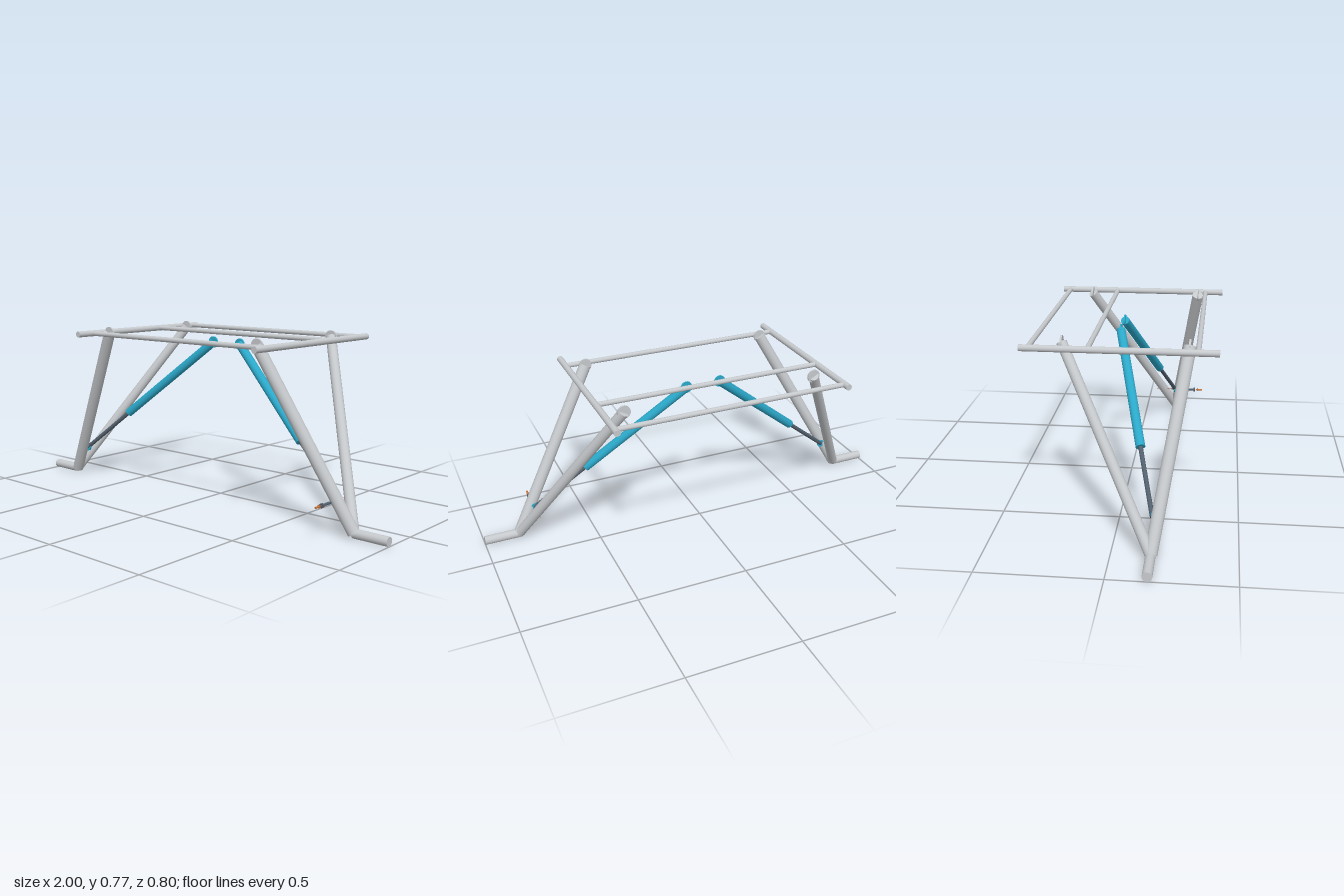
import * as THREE from 'three';

const mat = (name, color) => {
  const m = new THREE.MeshStandardMaterial({ color });
  m.name = name;
  return m;
};

export function createModel() {
  const model = new THREE.Group();
  model.name = 'suspensionFrame';
  const steel = mat('light steel', 0xc6c9cc);
  const teal = mat('teal', 0x2ba8c9);
  const dark = mat('dark steel', 0x52606d);
  const orange = mat('orange', 0xc8733a);

  // Round bar between two points, r2 is the radius at the end
  const bar = (name, a, b, r, material, parent = model, r2 = r, sides = 32) => {
    const p = new THREE.Vector3(...a), q = new THREE.Vector3(...b);
    const dir = q.clone().sub(p);
    const mesh = new THREE.Mesh(new THREE.CylinderGeometry(r2, r, dir.length(), sides), material);
    mesh.position.copy(p).add(q).multiplyScalar(0.5);
    mesh.quaternion.setFromUnitVectors(new THREE.Vector3(0, 1, 0), dir.normalize());
    mesh.name = name;
    parent.add(mesh);
    return mesh;
  };
  // Thin round eye plate facing z
  const eye = (name, [x, y, z], r, material, parent) =>
    bar(name, [x, y, z - 0.004], [x, y, z + 0.004], r, material, parent);

  // Top frame: two side rails and three cross bars
  const frame = new THREE.Group();
  frame.name = 'topFrame';
  model.add(frame);
  for (const s of [-1, 1]) bar('sideRail', [s * 0.522, 0.742, 0.4], [s * 0.522, 0.742, -0.4], 0.014, steel, frame);
  for (const z of [0.315, -0.125, -0.365]) bar('crossBar', [-0.522, 0.742, z], [0.522, 0.742, z], 0.011, steel, frame);

  for (const s of [-1, 1]) {
    const side = new THREE.Group();
    side.name = s > 0 ? 'leftArm' : 'rightArm';
    model.add(side);

    // Stub axle and the two legs of the arm
    const foot = [s * 0.84, 0.021, 0.16];
    bar('axle', foot, [s, 0.021, 0.16], 0.02, steel, side);
    const frontTop = [s * 0.44, 0.745, 0.28], rearTop = [s * 0.44, 0.745, -0.24];
    bar('frontLeg', foot, frontTop, 0.026, steel, side);
    bar('rearLeg', foot, rearTop, 0.0225, steel, side);
    eye('frontPivot', frontTop, 0.029, steel, side);
    eye('rearPivot', rearTop, 0.029, steel, side);

    // Damper: body, rod and eye plates
    const top = [s * 0.08, 0.704, -0.04], mid = [s * 0.524, 0.336, 0.09], low = [s * 0.757, 0.142, 0.159];
    bar('damperBody', top, mid, 0.02, teal, side);
    bar('damperRod', mid, low, 0.0095, dark, side);
    eye('damperTopEye', top, 0.026, teal, side);
    eye('damperLowerEye', low, 0.019, teal, side);
  }

  // Bolt through the left lower eye, with an arrow along its axis
  const bolt = new THREE.Group();
  bolt.name = 'bolt';
  bolt.position.set(0.757, 0.141, 0);
  model.add(bolt);
  bar('boltShank', [0, 0, 0.14], [0, 0, 0.264], 0.0055, dark, bolt);
  bar('boltHead', [0, 0, 0.261], [0, 0, 0.269], 0.0105, dark, bolt, 0.0105, 6);
  bar('axisLine', [0, 0, 0.06], [0, 0, 0.3], 0.0012, orange, bolt, 0.0012, 8);
  bar('arrowShaft', [0, 0, 0.308], [0, 0, 0.284], 0.004, orange, bolt, 0.004, 16);
  bar('arrowTip', [0, 0, 0.284], [0, 0, 0.271], 0.008, orange, bolt, 0, 16);

  return model;
}
